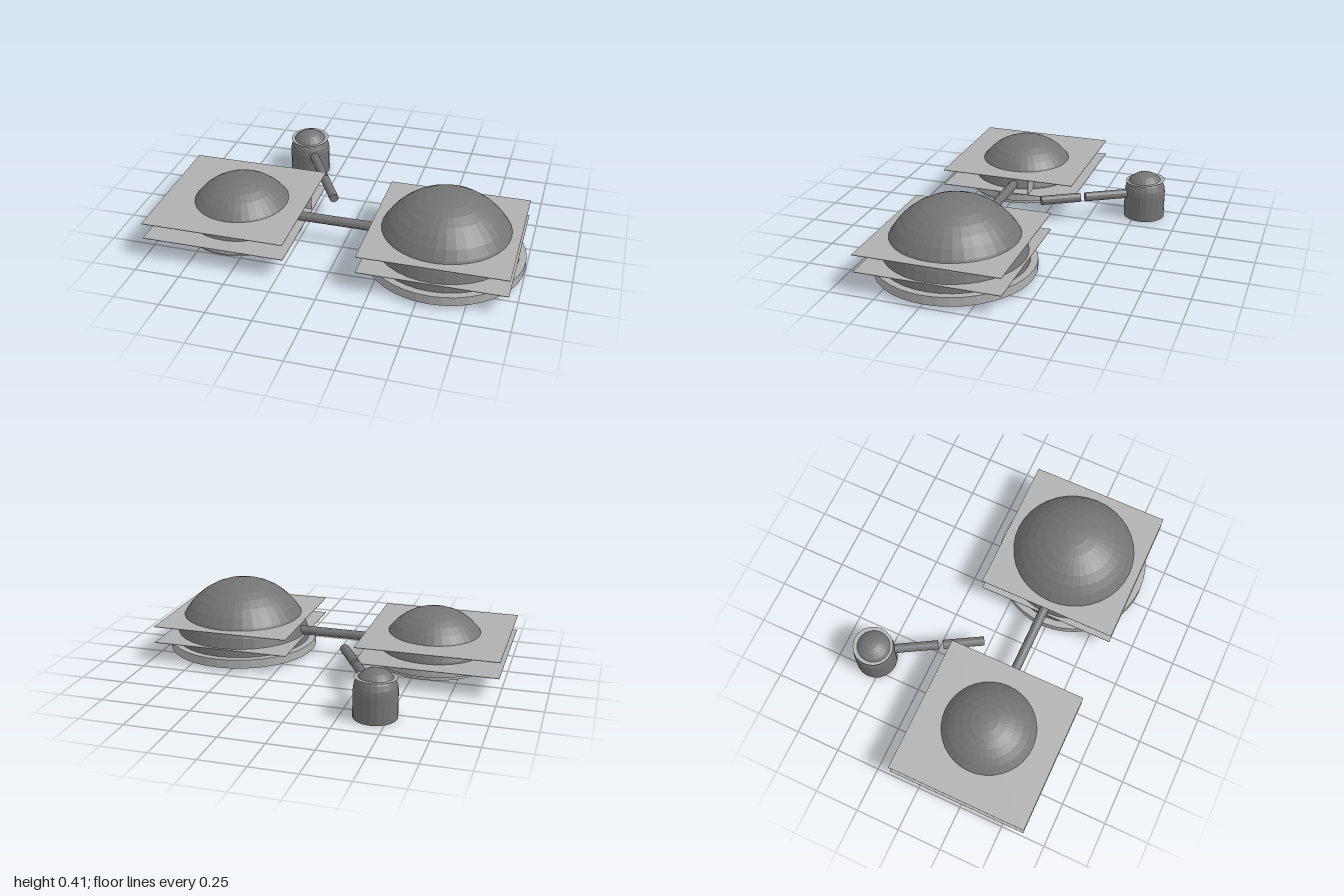
import * as THREE from 'three';

const dark = new THREE.MeshStandardMaterial({ color: 0x747474, side: THREE.DoubleSide });
dark.name = 'dark grey';
const light = new THREE.MeshStandardMaterial({ color: 0xb0b0b0, side: THREE.DoubleSide });
light.name = 'light grey';

// Faceted mesh: unshared corners give flat normals
function add(parent, name, geometry, material, x = 0, y = 0, z = 0) {
  const flat = geometry.index ? geometry.toNonIndexed() : geometry;
  flat.computeVertexNormals();
  const mesh = new THREE.Mesh(flat, material);
  mesh.name = name;
  mesh.position.set(x, y, z);
  parent.add(mesh);
  return mesh;
}

const lathe = (points, sides) =>
  new THREE.LatheGeometry(points.map(([r, y]) => new THREE.Vector2(r, y)), sides);

// Arc of a dome from height y0 up to its apex
function domeProfile(radius, centreY, y0, steps) {
  const start = Math.asin((y0 - centreY) / radius);
  return Array.from({ length: steps + 1 }, (_, i) => {
    const a = start + (Math.PI / 2 - start) * i / steps;
    return [Math.max(0, radius * Math.cos(a)), centreY + radius * Math.sin(a)];
  });
}

// Hollow collar with a rectangular section
const collar = (inner, outer, y0, y1) =>
  lathe([[inner, y0], [outer, y0], [outer, y1], [inner, y1], [inner, y0]], 40);

// Round bar between two points
function rod(parent, name, from, to, radius) {
  const a = new THREE.Vector3(...from), b = new THREE.Vector3(...to);
  const mesh = add(parent, name, new THREE.CylinderGeometry(radius, radius, a.distanceTo(b), 12), dark);
  mesh.position.copy(a).add(b).multiplyScalar(0.5);
  mesh.quaternion.setFromUnitVectors(new THREE.Vector3(0, 1, 0), b.sub(a).normalize());
}

// Pair of thin square sheets that cut through a dome
function sheets(parent, x, lowerY) {
  for (const [name, y] of [['lowerSheet', lowerY], ['upperSheet', 0.21]]) {
    add(parent, name, new THREE.BoxGeometry(0.787, 0.003, 0.79), light, x, y, 0.23);
  }
}

export function createModel() {
  const model = new THREE.Group();
  model.name = 'domeCluster';

  // Large dome on a broad collar
  const large = new THREE.Group();
  large.name = 'largeDome';
  model.add(large);
  add(large, 'dome', lathe(domeProfile(0.395, 0.02, 0.06, 10), 36), dark, 0.57, 0, 0.23);
  add(large, 'baseCollar', collar(0.38, 0.43, 0.02, 0.07), light, 0.57, 0, 0.23);
  add(large, 'innerLining', lathe([[0.38, 0.07], [0.378, 0.115]], 40), light, 0.57, 0, 0.23);
  sheets(large, 0.57, 0.115);

  // Small dome on a stepped collar with a closed floor
  const small = new THREE.Group();
  small.name = 'smallDome';
  model.add(small);
  add(small, 'dome', lathe([[0, 0.085], ...domeProfile(0.318, 0.027, 0.085, 9)], 36), dark, -0.58, 0, 0.23);
  add(small, 'upperCollar', collar(0.295, 0.34, 0.06, 0.1), light, -0.58, 0, 0.23);
  add(small, 'lowerCollar', collar(0.295, 0.315, 0.035, 0.06), light, -0.58, 0, 0.23);
  sheets(small, -0.607, 0.12);
  add(small, 'uprightSheet', new THREE.BoxGeometry(0.66, 0.09, 0.003), light, -0.55, 0.165, 0.1);

  // Passage joining the two domes
  rod(model, 'connectingRod', [-0.3, 0.14, 0.215], [0.21, 0.14, 0.215], 0.026);

  // Small round-topped pod at the back
  const pod = new THREE.Group();
  pod.name = 'pod';
  pod.position.set(-0.43, 0, -0.547);
  model.add(pod);
  add(pod, 'podBody', lathe([[0, 0], [0.117, 0], ...domeProfile(0.117, 0.146, 0.147, 6)], 20), dark);
  const rim = add(pod, 'podRim', new THREE.RingGeometry(0.088, 0.112, 24), light, 0, 0.217, 0);
  rim.rotation.set(-Math.PI / 2 + 0.06, 0, 0);

  // Two-piece arm reaching from the pod towards the domes
  rod(model, 'armOuter', [-0.385, 0.14, -0.47], [-0.25, 0.14, -0.237], 0.026);
  rod(model, 'armInner', [-0.236, 0.14, -0.212], [-0.121, 0.14, -0.013], 0.026);

  return model;
}
